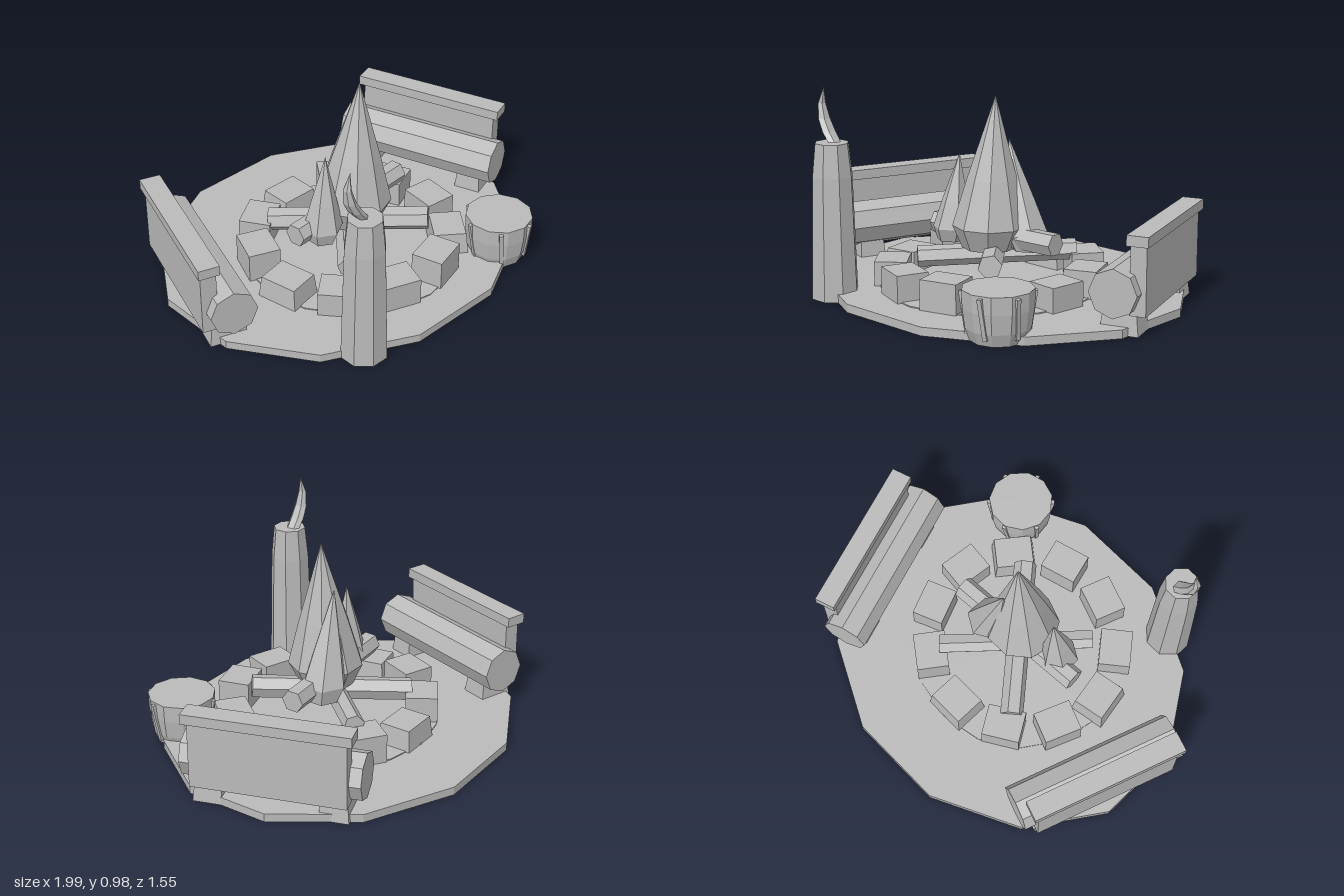
import * as THREE from 'three';

export function createModel() {
  const model = new THREE.Group();
  const grey = new THREE.MeshStandardMaterial({ color: 0xbababa, flatShading: true, side: THREE.DoubleSide });
  grey.name = 'stone grey';

  const add = (parent, name, geo, x = 0, y = 0, z = 0) => {
    const m = new THREE.Mesh(geo, grey);
    m.name = name;
    m.position.set(x, y, z);
    parent.add(m);
    return m;
  };

  // Faceted solid turned from [radius, height] pairs
  const turned = (pts, sides, phase = 0) =>
    new THREE.LatheGeometry(pts.map(([r, y]) => new THREE.Vector2(r, y)), sides, phase);

  // Box with a narrower top, standing on its own y = 0
  const block = (w, h, d, taper) => {
    const g = new THREE.BoxGeometry(w, h, d).translate(0, h / 2, 0);
    const p = g.attributes.position;
    for (let i = 0; i < p.count; i++) {
      if (p.getY(i) > 0) p.setXYZ(i, p.getX(i) * taper, p.getY(i), p.getZ(i) * taper);
    }
    return g;
  };

  // Straight log between two points
  const log = (parent, name, a, b, r, sides) => {
    const from = new THREE.Vector3(...a), to = new THREE.Vector3(...b);
    const dir = to.clone().sub(from);
    const m = add(parent, name, new THREE.CylinderGeometry(r, r, dir.length(), sides));
    m.position.copy(from).add(to).multiplyScalar(0.5);
    m.quaternion.setFromUnitVectors(new THREE.Vector3(0, 1, 0), dir.normalize());
    return m;
  };

  // Ground: a thin twelve-sided oval shell, open underneath
  const ground = add(model, 'ground', turned([[1, 0], [1, 0.04], [0, 0.04]], 12, Math.PI / 12));
  ground.scale.set(0.93, 1, 0.8);
  add(model, 'ashBed', turned([[0.53, 0.025], [0.53, 0.045], [0, 0.045]], 16), 0, 0, 0.08);

  // Ring of tapered stones
  const stones = new THREE.Group();
  stones.name = 'stoneRing';
  model.add(stones);
  for (let i = 0; i < 11; i++) {
    const a = (i / 11) * Math.PI * 2;
    const h = 0.135 + 0.025 * ((i * 3) % 4) / 2;
    const s = add(stones, 'stone', block(0.215, h, 0.18, 0.86),
      Math.sin(a) * 0.475, 0.01, 0.085 - Math.cos(a) * 0.445);
    s.rotation.y = -a + 0.06 * Math.sin(i * 5);
  }

  // Crossed firewood
  const wood = new THREE.Group();
  wood.name = 'firewood';
  model.add(wood);
  log(wood, 'firewoodLog', [0.25, 0.22, 0.35], [-0.25, 0.16, -0.23], 0.056, 6);
  log(wood, 'firewoodLog', [-0.25, 0.17, 0.32], [0.25, 0.19, -0.24], 0.05, 6);
  log(wood, 'firewoodLog', [-0.36, 0.28, 0.08], [0.36, 0.28, 0.03], 0.056, 6);

  // Flames: each leans from its base centre to an offset tip
  const flame = (name, base, tip, r, sides) => {
    const h = tip[1] - base[1];
    const prof = [[0, 0], [0.72, 0], [1, 0.15], [0.66, 0.46], [0, 1]];
    const g = turned(prof.map(([k, t]) => [k * r, t * h]), sides);
    const p = g.attributes.position;
    for (let i = 0; i < p.count; i++) {
      const t = p.getY(i) / h;
      p.setX(i, p.getX(i) + (tip[0] - base[0]) * t);
      p.setZ(i, p.getZ(i) + (tip[2] - base[2]) * t);
    }
    add(model, name, g, ...base);
  };
  flame('largeFlame', [0, 0.22, 0.09], [0.04, 0.945, 0.09], 0.18, 9);
  flame('backFlame', [0.16, 0.22, 0], [0.05, 0.735, 0.01], 0.11, 6);
  flame('smallFlame', [-0.225, 0.22, 0.12], [-0.185, 0.645, 0.1], 0.095, 6);

  // Two mirrored benches; s points to the inner side
  for (const s of [1, -1]) {
    const bench = new THREE.Group();
    bench.name = s > 0 ? 'rightBench' : 'leftBench';
    bench.position.set(-0.733 * s, 0, -0.153);
    bench.rotation.y = -0.326 * s;
    model.add(bench);
    log(bench, 'benchSeatLog', [0, 0.2, -0.415], [0, 0.2, 0.415], 0.112, 8);
    add(bench, 'benchBack', new THREE.BoxGeometry(0.075, 0.32, 0.72), -0.095 * s, 0.255, 0);
    add(bench, 'benchBackCap', new THREE.BoxGeometry(0.1, 0.048, 0.77), -0.097 * s, 0.434, 0);
    for (const z of [-0.29, 0.29]) {
      add(bench, 'benchLeg', block(0.18, 0.15, 0.14, 0.8), -0.01 * s, 0.002, z);
    }
  }

  // Candle with a curled flame
  const candle = new THREE.Group();
  candle.name = 'candle';
  candle.position.set(-0.467, 0, 0.645);
  model.add(candle);
  add(candle, 'candleBody', turned(
    [[0, 0], [0.112, 0], [0.104, 0.3], [0.096, 0.58], [0.08, 0.735], [0, 0.735]], 8, Math.PI / 8));
  const curl = turned([[0.036, 0], [0.038, 0.045], [0.034, 0.1], [0.022, 0.17], [0, 0.248]], 6);
  const cp = curl.attributes.position;
  for (let i = 0; i < cp.count; i++) {
    const t = cp.getY(i) / 0.248;
    cp.setX(i, cp.getX(i) * 0.75 - 0.235 * t + 0.17 * t * t);
  }
  add(candle, 'candleFlame', curl, -0.005, 0.735, -0.02);

  // Tree stump with bark ridges
  const stump = new THREE.Group();
  stump.name = 'stump';
  stump.position.set(0.508, 0, 0.57);
  model.add(stump);
  add(stump, 'stumpBody', turned(
    [[0, 0.002], [0.125, 0.002], [0.146, 0.06], [0.158, 0.15], [0.16, 0.23], [0, 0.23]], 11));
  for (let i = 0; i < 6; i++) {
    const a = 0.3 + i * 1.05;
    const ridge = add(stump, 'barkRidge', new THREE.BoxGeometry(0.02, 0.19, 0.02),
      Math.sin(a) * 0.147, 0.125, Math.cos(a) * 0.147);
    ridge.rotation.set(0.14, a, 0.08, 'YXZ');
  }

  return model;
}
